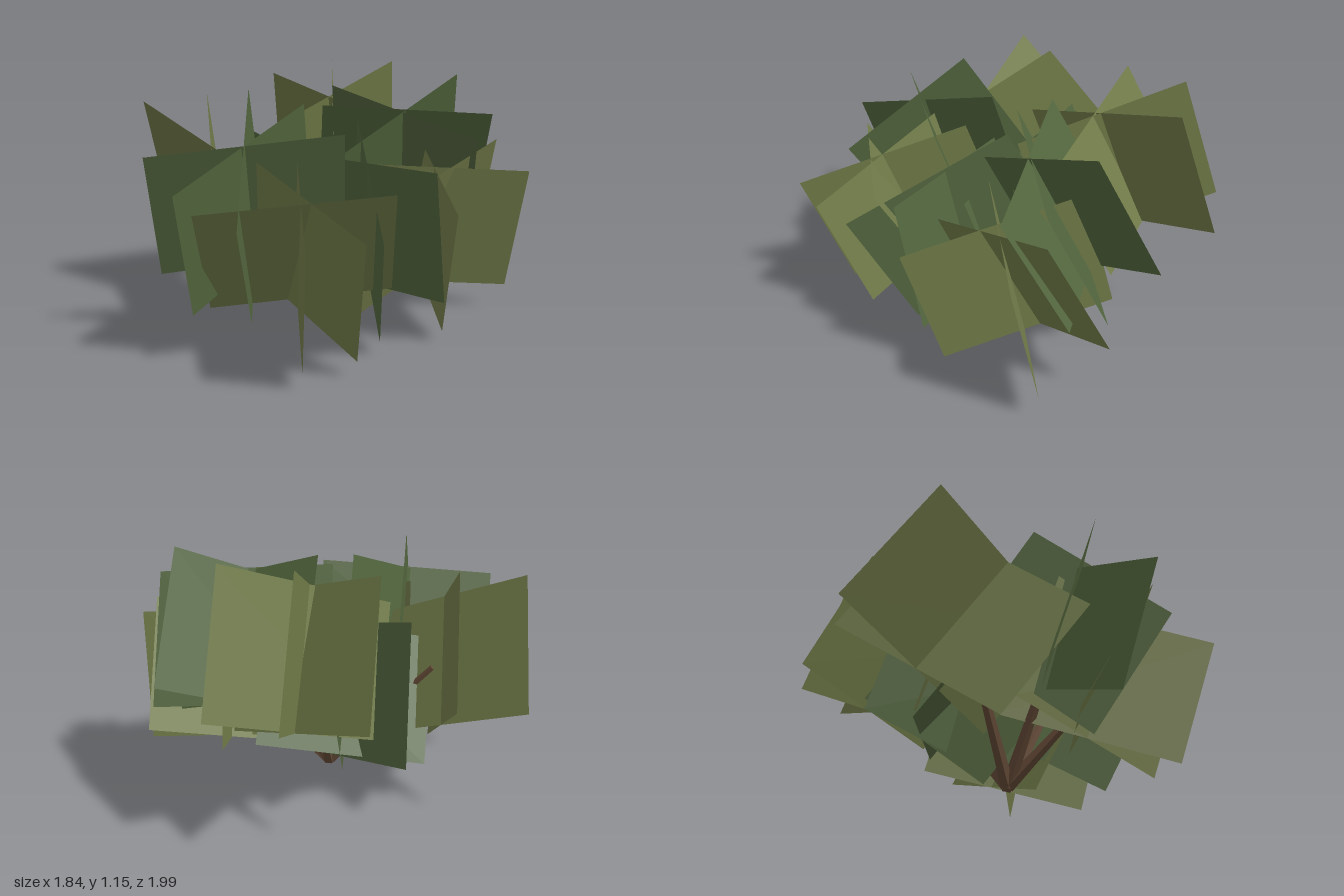
import * as THREE from 'three';

const olive = new THREE.MeshStandardMaterial({ color: 0x737d4a, side: THREE.DoubleSide });
olive.name = 'olive leaf';
const green = new THREE.MeshStandardMaterial({ color: 0x54673f, side: THREE.DoubleSide });
green.name = 'green leaf';
const bark = new THREE.MeshStandardMaterial({ color: 0x674c39, flatShading: true });
bark.name = 'brown bark';

// Each clump: centre, card height vector, then card width vectors (optionally with their own height vector)
const clumps = [
  { name: 'backClump', mat: olive, centre: [0.01, 0.72, -0.51], up: [-0.02, 0.58, 0.21],
    cards: [[0.03, -0.28, 0.75], [0.65, -0.2, 0.42, 0, 0.55, 0.29], [0.62, 0.27, -0.57]] },
  { name: 'backLeftClump', mat: green, centre: [0.35, 0.71, -0.2], up: [-0.02, 0.55, 0.29],
    cards: [[0.8, -0.05, -0.07, 0.03, 0.57, 0.27], [0.55, 0.29, -0.5], [0.67, -0.21, 0.26]] },
  { name: 'leftClump', mat: olive, centre: [0.47, 0.45, 0.02], up: [0.03, 0.6, 0.16],
    cards: [[0.85, -0.05, -0.07, 0.06, 0.61, 0.12], [0.13, -0.2, 0.78], [0.61, 0.24, -0.52, 0.03, 0.56, 0.28]] },
  { name: 'frontLeftClump', mat: green, centre: [0.18, 0.52, 0.24], up: [0, 0.55, 0.29],
    cards: [[0.11, -0.38, 0.73], [0.61, 0.02, 0.44, -0.06, 0.61, 0.09]] },
  { name: 'middleClump', mat: green, centre: [-0.12, 0.46, -0.15], up: [0, 0.48, 0.38],
    cards: [[0.75, 0.08, -0.1], [0.06, -0.42, 0.55], [0.61, -0.18, 0.55, 0.01, 0.59, 0.19]] },
  { name: 'frontRightClump', mat: green, centre: [-0.34, 0.63, 0.32], up: [0, 0.59, 0.2],
    cards: [[0.83, 0.07, -0.15], [0.015, -0.47, 0.59, 0, 0.54, 0.36], [0.47, 0.25, -0.66, -0.02, 0.58, 0.18]] },
  { name: 'frontClump', mat: olive, centre: [-0.115, 0.475, 0.5], up: [0.03, 0.58, 0.2],
    cards: [[0.81, 0.06, -0.11, 0, 0.53, 0.32], [0.09, -0.24, 0.79], [0.53, -0.22, 0.57]] },
  { name: 'rightClump', mat: olive, centre: [-0.55, 0.61, -0.08], up: [0.02, 0.49, 0.38],
    cards: [[0.14, -0.39, 0.68], [0.71, -0.33, 0.45]] },
];

// Flat leaf card centred on the origin, spanned by a width and a height vector
function leafCard(width, up) {
  const w = new THREE.Vector3(...width), u = new THREE.Vector3(...up);
  const g = new THREE.PlaneGeometry(1, 1);
  const normal = w.clone().cross(u).normalize();
  g.applyMatrix4(new THREE.Matrix4().makeBasis(w, u, normal));
  const n = g.attributes.normal;
  for (let i = 0; i < n.count; i++) n.setXYZ(i, normal.x, normal.y, normal.z);
  return g;
}

// Tapered five-sided branch between two points
function branch(from, to, r0, r1) {
  const d = to.clone().sub(from);
  const m = new THREE.Mesh(new THREE.CylinderGeometry(r1, r0, d.length(), 5), bark);
  m.position.copy(from).addScaledVector(d, 0.5);
  m.quaternion.setFromUnitVectors(new THREE.Vector3(0, 1, 0), d.normalize());
  m.name = 'branch';
  return m;
}

export function createModel() {
  const bush = new THREE.Group();
  bush.name = 'bush';

  const branches = new THREE.Group();
  branches.name = 'branches';
  bush.add(branches);
  const root = new THREE.Vector3(-0.01, 0.02, 0.03);

  for (const { name, mat, centre, up, cards } of clumps) {
    // Crossed leaf cards
    const clump = new THREE.Group();
    clump.name = name;
    clump.position.set(...centre);
    for (const c of cards) {
      const card = new THREE.Mesh(leafCard(c.slice(0, 3), c.length > 3 ? c.slice(3) : up), mat);
      card.name = 'leafCard';
      clump.add(card);
    }
    bush.add(clump);

    // Branch from the root up towards the clump
    const tip = root.clone().lerp(new THREE.Vector3(...centre), 0.92);
    branches.add(branch(root, tip, 0.032, 0.014));
  }
  return bush;
}
